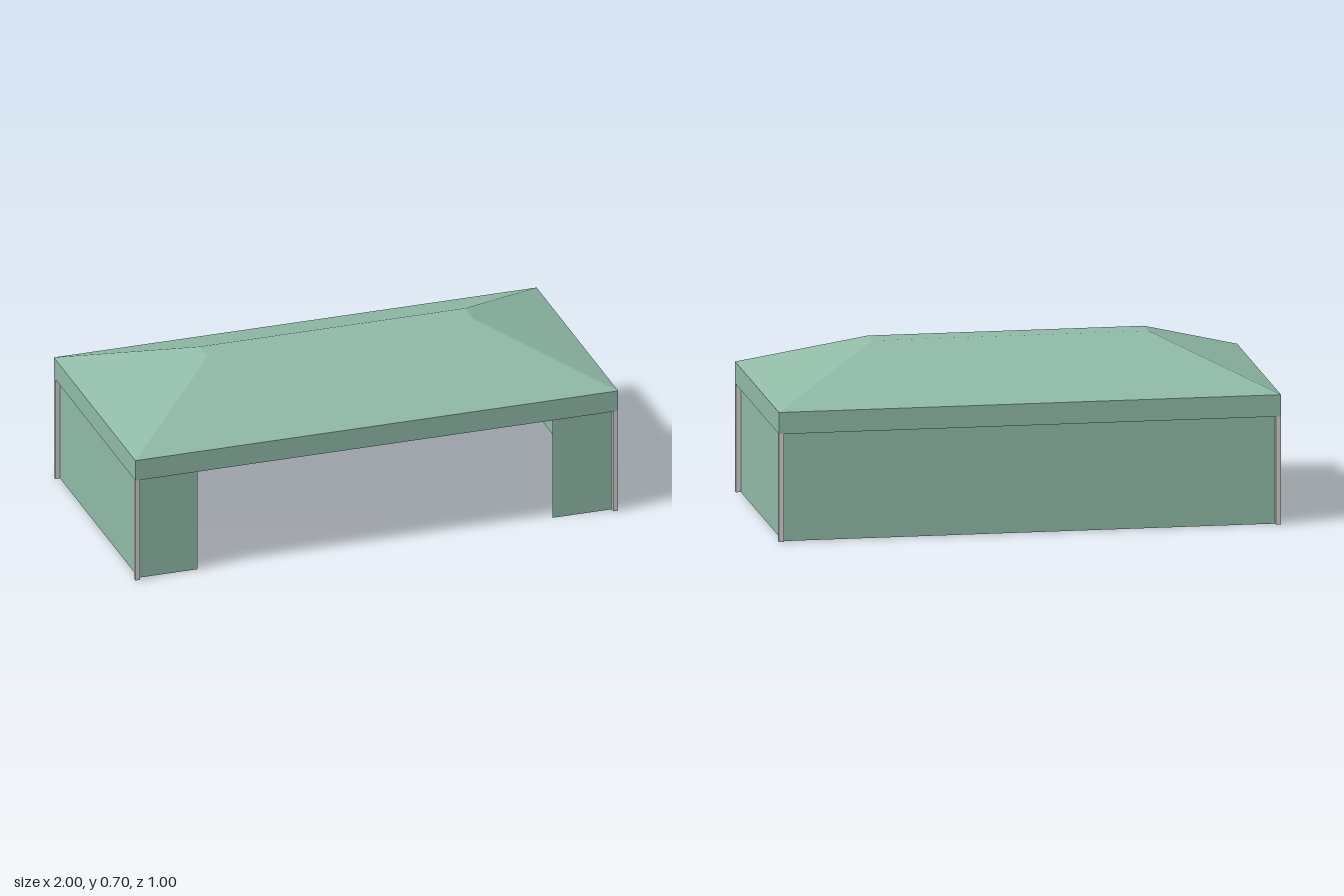
import * as THREE from 'three';

export function createModel() {
  const group = new THREE.Group();
  const canvas = new THREE.MeshStandardMaterial({ color: 0x8fb9a6, side: THREE.DoubleSide });
  canvas.name = 'green canvas';
  const metal = new THREE.MeshStandardMaterial({ color: 0xd0cece });
  metal.name = 'grey metal';

  const eave = 0.52, ridge = 0.7, valanceBottom = 0.433;

  // Roof: a box with two rows, the lower one the valance, the upper one tapering to the flat ridge
  const box = new THREE.BoxGeometry(2, 2, 1, 1, 2, 1);
  const pos = box.attributes.position;
  for (let i = 0; i < pos.count; i++) {
    const y = pos.getY(i);
    if (y > 0.5) {
      pos.setXYZ(i, Math.sign(pos.getX(i)) * 0.55, ridge, Math.sign(pos.getZ(i)) * 0.05);
    } else {
      pos.setY(i, y < -0.5 ? valanceBottom : eave);
    }
  }
  const roofGeometry = box.toNonIndexed();
  roofGeometry.computeVertexNormals();
  const roof = new THREE.Mesh(roofGeometry, canvas);
  roof.name = 'roof';
  group.add(roof);

  // Thin canvas walls hanging from the roof
  const addWall = (name, width, x, z, turn) => {
    const wall = new THREE.Mesh(new THREE.PlaneGeometry(width, valanceBottom), canvas);
    wall.position.set(x, valanceBottom / 2, z);
    wall.rotation.y = turn;
    wall.name = name;
    group.add(wall);
  };
  addWall('backWall', 1.96, 0, -0.48, Math.PI);
  for (const side of [1, -1]) {
    const label = side > 0 ? 'left' : 'right';
    addWall(label + 'Wall', 0.96, side * 0.98, 0, side * Math.PI / 2);
    addWall(label + 'FrontPanel', 0.245, side * 0.8575, 0.48, 0);

    // Corner posts
    for (const end of [1, -1]) {
      const post = new THREE.Mesh(new THREE.BoxGeometry(0.02, valanceBottom, 0.02), metal);
      post.position.set(side * 0.99, valanceBottom / 2, end * 0.49);
      post.name = label + (end > 0 ? 'Front' : 'Back') + 'Post';
      group.add(post);
    }
  }
  return group;
}
